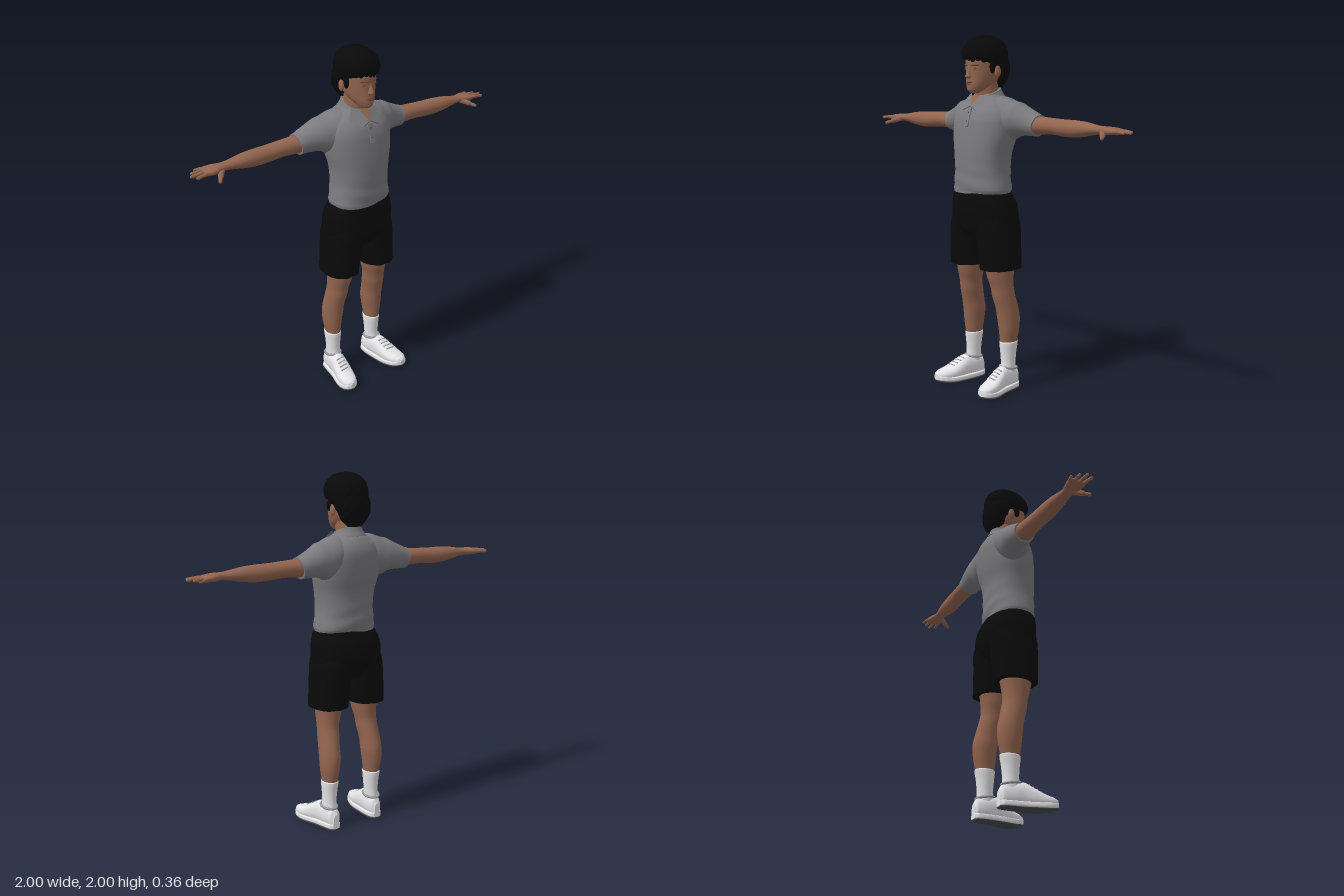
import * as THREE from 'three';

const mat = (name, color, side = THREE.FrontSide) => {
  const m = new THREE.MeshStandardMaterial({ color, side });
  m.name = name;
  return m;
};

// Loft elliptical rings [t, c1, c2, r1, r2, power] along an axis; rows ascend in t.
// Centres and radii are (x, z) for axis y, (y, z) for axis x, (x, y) for axis z.
function loft(axis, rows, warp, seg = 32, sub = 5) {
  const spline = (a, b, c, d, t) => {
    const m0 = (c - a) / 2, m1 = (d - b) / 2, t2 = t * t, t3 = t2 * t;
    return (2 * t3 - 3 * t2 + 1) * b + (t3 - 2 * t2 + t) * m0 + (3 * t2 - 2 * t3) * c + (t3 - t2) * m1;
  };
  const full = rows.map(r => [...r, 2].slice(0, 6)), rings = [];
  const at = i => full[Math.max(0, Math.min(full.length - 1, i))];
  for (let i = 0; i < full.length - 1; i++)
    for (let s = 0; s < sub; s++) {
      const t = s / sub;
      rings.push(at(i).map((v, k) => k === 0 ? v + (at(i + 1)[0] - v) * t
        : spline(at(i - 1)[k], v, at(i + 1)[k], at(i + 2)[k], t)));
    }
  rings.push(full[full.length - 1]);
  const pos = [], idx = [];
  const put = (t, p, q) => {
    const v = axis === 'y' ? new THREE.Vector3(p, t, q)
      : axis === 'x' ? new THREE.Vector3(t, p, q) : new THREE.Vector3(p, q, t);
    if (warp) warp(v);
    pos.push(v.x, v.y, v.z);
  };
  const ring = ([t, c1, c2, r1, r2, pw]) => {
    for (let j = 0; j < seg; j++) {
      const a = j / seg * Math.PI * 2 * (axis === 'y' ? -1 : 1);
      const f = v => Math.sign(v) * Math.pow(Math.abs(v), 2 / pw);
      put(t, c1 + r1 * f(Math.cos(a)), c2 + r2 * f(Math.sin(a)));
    }
  };
  rings.forEach(ring);
  for (let i = 0; i < rings.length - 1; i++)
    for (let j = 0; j < seg; j++) {
      const a = i * seg + j, b = i * seg + (j + 1) % seg;
      idx.push(a, b, b + seg, a, b + seg, a + seg);
    }
  // end caps with their own vertices, so their edges stay sharp
  [rings[0], rings[rings.length - 1]].forEach((r, end) => {
    const base = pos.length / 3;
    ring(r);
    put(r[0], r[1], r[2]);
    for (let j = 0; j < seg; j++) {
      const a = base + j, b = base + (j + 1) % seg;
      idx.push(base + seg, end ? a : b, end ? b : a);
    }
  });
  const g = new THREE.BufferGeometry();
  g.setAttribute('position', new THREE.Float32BufferAttribute(pos, 3));
  g.setIndex(idx);
  g.computeVertexNormals();
  return g;
}

// Capsule between two points
function capsule(a, b, r) {
  const p = new THREE.Vector3(...a), q = new THREE.Vector3(...b), d = q.clone().sub(p);
  const g = new THREE.CapsuleGeometry(r, d.length(), 5, 12);
  g.applyQuaternion(new THREE.Quaternion().setFromUnitVectors(new THREE.Vector3(0, 1, 0), d.normalize()));
  return g.translate(...p.add(q).multiplyScalar(0.5).toArray());
}

const ball = (x, y, z, rx, ry, rz) => new THREE.SphereGeometry(1, 20, 14).scale(rx, ry, rz).translate(x, y, z);

// Thin sheet from a fan of corners
function sheet(points) {
  const g = new THREE.BufferGeometry();
  g.setAttribute('position', new THREE.Float32BufferAttribute(points.flat(), 3));
  const idx = [];
  for (let i = 1; i < points.length - 1; i++) idx.push(0, i, i + 1);
  g.setIndex(idx);
  g.computeVertexNormals();
  return g;
}

// Mirror across x and restore the winding
function mirror(geo) {
  const g = geo.clone().scale(-1, 1, 1), ix = g.index.array;
  for (let i = 0; i < ix.length; i += 3) [ix[i], ix[i + 1]] = [ix[i + 1], ix[i]];
  g.computeVertexNormals();
  return g;
}

export function createModel() {
  const root = new THREE.Group();
  root.name = 'man';
  const skin = mat('skin', 0x93654f), skinShade = mat('skin shade', 0x744a3b);
  const hair = mat('hair', 0x090909), shirt = mat('shirt grey', 0x7b7b7f, THREE.DoubleSide);
  const trim = mat('shirt trim', 0x5c5c60), black = mat('shorts black', 0x0a0a0b);
  const white = mat('white', 0xe6e6e9), grey = mat('lace grey', 0x9a9a9e), rubber = mat('sole rubber', 0x4a4a4d);
  const add = (name, geo, m) => {
    const mesh = new THREE.Mesh(geo, m);
    mesh.name = name;
    root.add(mesh);
  };
  const pair = (name, geo, m) => {
    add('left ' + name, geo, m);
    add('right ' + name, mirror(geo), m);
  };

  // Head and neck
  add('head', loft('y', [
    [1.684, 0, 0.05, 0.022, 0.025], [1.698, 0, 0.038, 0.042, 0.053], [1.73, 0, 0.005, 0.064, 0.09],
    [1.77, 0, -0.015, 0.078, 0.108], [1.82, 0, -0.022, 0.086, 0.115], [1.87, 0, -0.026, 0.089, 0.118],
    [1.93, 0, -0.03, 0.08, 0.1], [1.965, 0, -0.03, 0.05, 0.06]]), skin);
  add('neck', loft('y', [
    [1.58, 0, -0.05, 0.085, 0.085], [1.64, 0, -0.048, 0.066, 0.074],
    [1.69, 0, -0.04, 0.062, 0.07], [1.75, 0, -0.035, 0.06, 0.07]]), skin);
  add('nose', loft('y', [
    [1.762, 0, 0.09, 0.013, 0.012], [1.772, 0, 0.094, 0.018, 0.021], [1.785, 0, 0.09, 0.014, 0.021],
    [1.81, 0, 0.086, 0.009, 0.013], [1.835, 0, 0.084, 0.009, 0.008]]), skin);
  add('upper lip', ball(0, 1.743, 0.088, 0.024, 0.006, 0.012), skinShade);
  add('lower lip', ball(0, 1.734, 0.086, 0.02, 0.006, 0.012), skinShade);
  add('chin', ball(0, 1.706, 0.072, 0.026, 0.017, 0.022), skin);
  pair('brow', capsule([0.016, 1.834, 0.089], [0.05, 1.836, 0.073], 0.005), skinShade);
  pair('eye', ball(0.034, 1.817, 0.08, 0.014, 0.005, 0.006), skinShade);
  pair('ear', ball(0.094, 1.8, -0.037, 0.012, 0.032, 0.02).rotateY(0), skin);

  // Hair, swept back from the forehead with soft tufts
  add('hair', loft('y', [
    [1.712, 0, -0.11, 0.045, 0.022, 2.3], [1.745, 0, -0.102, 0.075, 0.045, 2.4],
    [1.785, 0, -0.103, 0.094, 0.053, 2.6], [1.825, 0, -0.082, 0.1, 0.078, 2.8],
    [1.85, 0, -0.055, 0.105, 0.105, 2.6], [1.872, 0, -0.03, 0.108, 0.13, 2.3],
    [1.915, 0, -0.027, 0.107, 0.133, 2.2], [1.955, 0, -0.03, 0.093, 0.115, 2.1],
    [1.98, 0, -0.032, 0.068, 0.085], [1.994, 0, -0.034, 0.038, 0.05], [2, 0, -0.035, 0.004, 0.005]],
  v => {
    const k = 1 + 0.018 * Math.sin(v.x * 95 + v.y * 60) * Math.sin(v.z * 80 + v.y * 40);
    v.x *= k;
    v.z = -0.03 + (v.z + 0.03) * k;
  }, 48), hair);
  for (let i = -3; i <= 3; i++)
    add('fringe tuft', ball(i * 0.022, 1.872 - 0.006 * (i % 2), 0.082 - 0.0045 * i * i, 0.018, 0.02, 0.018), hair);
  pair('sideburn', ball(0.09, 1.825, 0.0, 0.012, 0.035, 0.018), hair);

  // Polo shirt
  add('shirt body', loft('y', [
    [1.13, 0, -0.01, 0.174, 0.124, 2.4], [1.155, 0, -0.01, 0.177, 0.13, 2.4], [1.25, 0, -0.01, 0.165, 0.131, 2.4],
    [1.35, 0, -0.012, 0.172, 0.134, 2.4], [1.44, 0, -0.025, 0.192, 0.142, 2.4], [1.53, 0, -0.037, 0.2, 0.143, 2.4],
    [1.58, 0, -0.045, 0.192, 0.136, 2.3], [1.62, 0, -0.052, 0.168, 0.118, 2.2],
    [1.65, 0, -0.054, 0.125, 0.098], [1.672, 0, -0.052, 0.08, 0.078]],
  v => { // gentle folds that gather at the waist
    const k = Math.max(0, 1.33 - v.y) * 0.02;
    v.z += k * Math.sin(v.y * 75 + v.x * 14) * Math.sign(v.z);
  }, 48), shirt);
  pair('sleeve', loft('x', [
    [0.05, 1.575, -0.06, 0.085, 0.085], [0.11, 1.566, -0.064, 0.1, 0.1], [0.175, 1.54, -0.072, 0.108, 0.1],
    [0.25, 1.533, -0.087, 0.08, 0.082], [0.31, 1.522, -0.094, 0.066, 0.068], [0.356, 1.513, -0.095, 0.058, 0.063]],
  v => { if (v.x > 0.2) v.x += (v.y - 1.515) * 0.2; }), shirt);
  add('collar', loft('y', [
    [1.63, 0, -0.045, 0.11, 0.1], [1.66, 0, -0.045, 0.09, 0.086], [1.692, 0, -0.045, 0.074, 0.077]],
  v => { v.y -= (v.z + 0.05) * 0.35; }), shirt);
  add('neck opening', sheet([[-0.034, 1.667, 0.033], [0, 1.603, 0.086], [0.034, 1.667, 0.033]]), skin);
  pair('collar flap', sheet([
    [0.07, 1.682, 0.012], [0.03, 1.667, 0.039], [0.004, 1.613, 0.083], [0.052, 1.592, 0.09], [0.104, 1.63, 0.042]]), shirt);
  pair('collar edge', capsule([0.005, 1.611, 0.084], [0.052, 1.591, 0.091], 0.0018), trim);
  add('placket', new THREE.BoxGeometry(0.03, 0.105, 0.006).rotateX(-0.29).translate(0, 1.551, 0.1), shirt);
  for (const [y, z] of [[1.58, 0.096], [1.53, 0.111]])
    add('button', ball(0, y, z, 0.0045, 0.0045, 0.002), trim);

  // Shorts: one seat and two loose legs
  add('shorts seat', loft('y', [
    [0.875, 0, -0.03, 0.15, 0.1, 2.5], [0.93, 0, -0.028, 0.2, 0.134, 2.5], [1.0, 0, -0.029, 0.206, 0.146, 2.5],
    [1.07, 0, -0.023, 0.2, 0.143, 2.5], [1.115, 0, -0.013, 0.187, 0.133, 2.4], [1.14, 0, -0.011, 0.172, 0.122, 2.4]]), black);
  pair('shorts leg', loft('y', [
    [0.708, 0.126, -0.03, 0.099, 0.12, 2.4], [0.8, 0.118, -0.03, 0.102, 0.125, 2.4],
    [0.88, 0.109, -0.03, 0.106, 0.13, 2.4], [0.95, 0.1, -0.03, 0.108, 0.134, 2.4], [1.03, 0.09, -0.028, 0.1, 0.125, 2.4]],
  v => { v.z += 0.004 * Math.sin(v.x * 90) * Math.min(1, Math.max(0, (0.95 - v.y) * 5)); }), black);

  // Arms and hands, palms down
  pair('arm', loft('x', [
    [0.32, 1.515, -0.095, 0.05, 0.056], [0.45, 1.516, -0.094, 0.044, 0.05], [0.54, 1.511, -0.094, 0.045, 0.048],
    [0.62, 1.51, -0.092, 0.045, 0.048], [0.7, 1.512, -0.09, 0.037, 0.043], [0.77, 1.513, -0.088, 0.025, 0.034],
    [0.81, 1.513, -0.087, 0.021, 0.032], [0.85, 1.512, -0.088, 0.021, 0.043, 2.4],
    [0.89, 1.511, -0.091, 0.018, 0.049, 2.5], [0.915, 1.51, -0.093, 0.013, 0.046, 2.5], [0.922, 1.51, -0.093, 0.006, 0.038]]), skin);
  const fingers = [[-0.13, 0.938, -0.146, 0.0085], [-0.105, 0.97, -0.116, 0.0095], [-0.08, 0.99, -0.082, 0.01], [-0.056, 0.975, -0.048, 0.01]];
  for (const [z0, x1, z1, r] of fingers) {
    const mid = [(0.895 + x1) / 2, 1.512, (z0 + z1) / 2];
    pair('finger base', capsule([0.89, 1.511, z0], mid, r), skin);
    pair('finger tip', capsule(mid, [x1, 1.508, z1], r * 0.86), skin);
  }
  pair('thumb base', capsule([0.825, 1.505, -0.068], [0.858, 1.491, -0.03], 0.015), skin);
  pair('thumb tip', capsule([0.858, 1.491, -0.03], [0.879, 1.48, 0.0], 0.01), skin);

  // Legs and socks
  pair('leg', loft('y', [
    [0.25, 0.147, -0.075, 0.04, 0.05], [0.29, 0.147, -0.076, 0.043, 0.056], [0.35, 0.148, -0.078, 0.051, 0.065],
    [0.42, 0.145, -0.076, 0.057, 0.071], [0.48, 0.143, -0.065, 0.057, 0.07], [0.55, 0.136, -0.047, 0.059, 0.071],
    [0.6, 0.132, -0.038, 0.06, 0.07], [0.66, 0.125, -0.031, 0.068, 0.081], [0.76, 0.12, -0.028, 0.078, 0.098]]), skin);
  pair('sock', loft('y', [
    [0.09, 0.15, -0.07, 0.038, 0.052], [0.16, 0.148, -0.073, 0.038, 0.046],
    [0.22, 0.147, -0.074, 0.042, 0.05], [0.278, 0.147, -0.076, 0.046, 0.058], [0.283, 0.147, -0.076, 0.043, 0.055]]), white);

  // Trainers, toes turned slightly out; [z, x, top height, half width]
  const shoe = [[-0.142, 0.146, 0.09, 0.018], [-0.125, 0.147, 0.12, 0.034], [-0.07, 0.15, 0.135, 0.043],
    [-0.01, 0.157, 0.143, 0.047], [0.04, 0.167, 0.118, 0.053], [0.09, 0.178, 0.09, 0.055],
    [0.14, 0.187, 0.07, 0.047], [0.167, 0.191, 0.055, 0.03], [0.178, 0.192, 0.042, 0.01]];
  const spring = v => { v.y += 0.012 * Math.max(0, (v.z - 0.07) / 0.1) ** 2; };
  const shoePart = (lo, hi, grow, power) => loft('z', shoe.map(([z, x, top, w]) => {
    const t = hi ?? top;
    return [z, x, (lo + t) / 2, w + grow, (t - lo) / 2, power];
  }), spring);
  pair('shoe upper', shoePart(0.012, null, 0, 2.3), white);
  pair('midsole', shoePart(0.006, 0.036, 0.004, 5), white);
  pair('outsole', shoePart(0, 0.008, 0.002, 5), rubber);
  for (let i = 0; i < 4; i++) {
    const z = 0.012 + i * 0.021, x = 0.162 + i * 0.0045, y = 0.136 - i * 0.0115;
    pair('lace', capsule([x - 0.022, y - 0.007, z], [x + 0.022, y - 0.007, z + 0.004], 0.0045), grey);
  }
  pair('shoe collar', new THREE.TorusGeometry(0.043, 0.007, 8, 28).rotateX(Math.PI / 2)
    .scale(1, 1, 1.2).rotateX(-0.14).translate(0.15, 0.13, -0.072), grey);

  return root;
}
